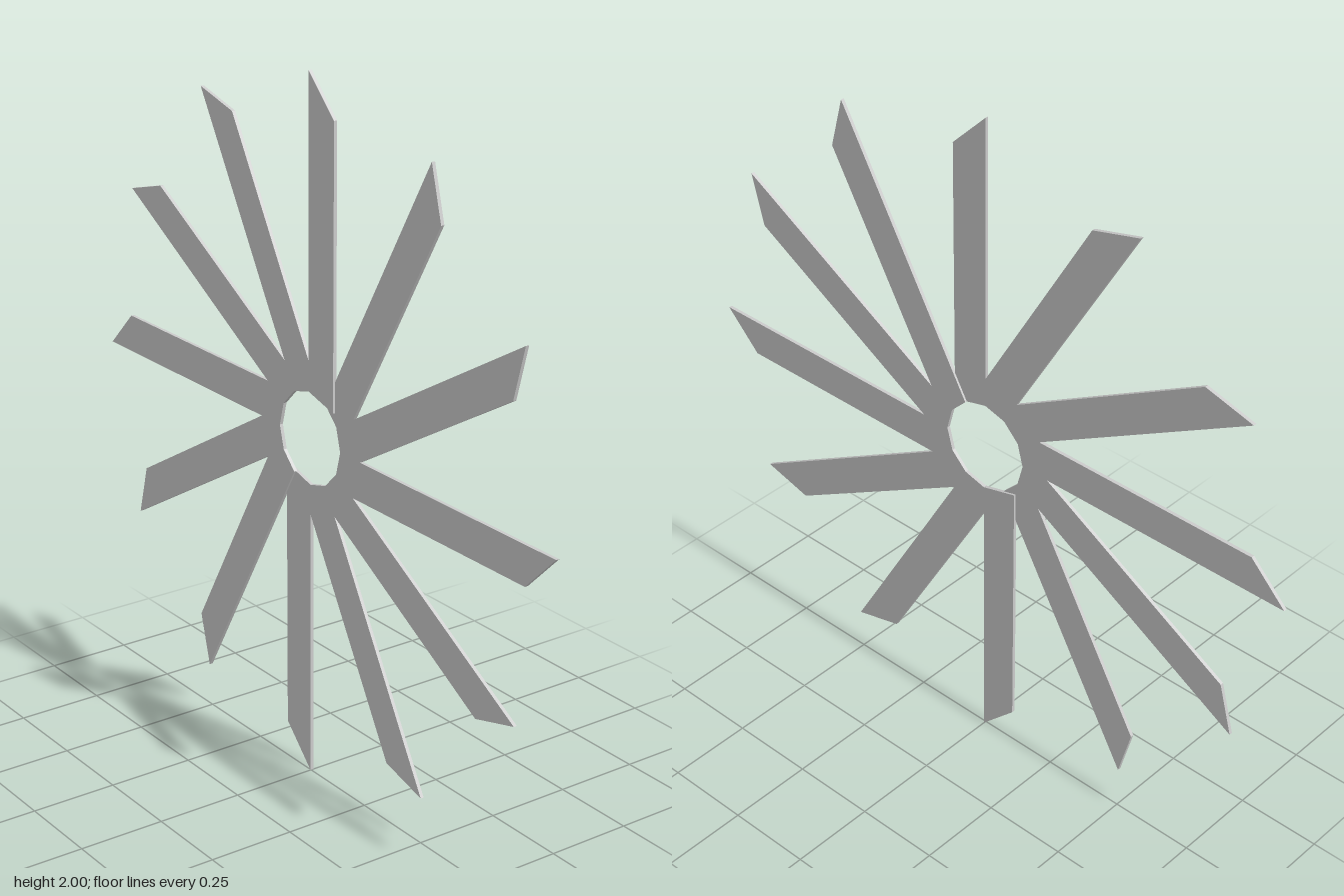
import * as THREE from 'three';

const BLADES = 12;
const WIDTH = 0.11;      // blade width
const HOLE = 0.134;      // corner radius of the twelve-sided centre hole
const THICK = 0.01;
const STEP = 0.003;      // the two half-sets sit slightly in front of / behind each other

export function createModel() {
  const model = new THREE.Group();
  const material = new THREE.MeshStandardMaterial({ color: 0xcccccc, flatShading: true });

  // Straight blade with a 45 degree tip; its root follows one side of the hole
  const slope = Math.tan(Math.PI / BLADES);
  const outline = new THREE.Shape([
    new THREE.Vector2(0, HOLE),
    new THREE.Vector2(WIDTH, HOLE - WIDTH * slope),
    new THREE.Vector2(WIDTH, 1 - WIDTH),
    new THREE.Vector2(0, 1),
  ]);
  const geometry = new THREE.ExtrudeGeometry(outline, { depth: THICK, bevelEnabled: false });
  geometry.translate(0, 0, -THICK / 2);

  // Blades overlap at the roots, forming the hub around the hole
  for (let i = 0; i < BLADES; i++) {
    const blade = new THREE.Mesh(geometry, material);
    blade.name = `blade${i + 1}`;
    blade.rotation.z = (i / BLADES) * Math.PI * 2;
    blade.position.set(0, 1, i < BLADES / 2 ? STEP : -STEP);
    model.add(blade);
  }
  return model;
}
